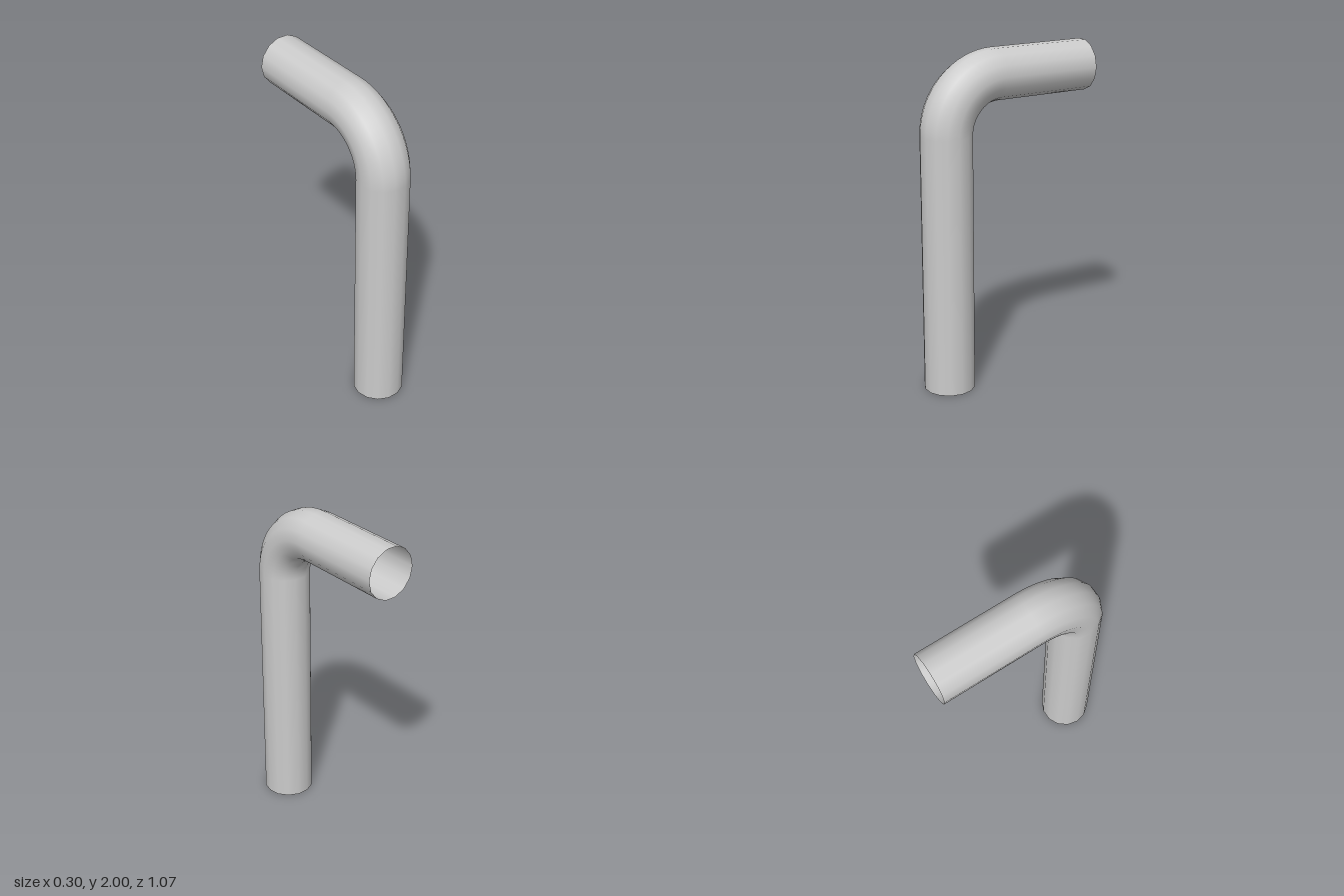
import * as THREE from 'three';

const SIDES = 14;        // facets around the pipe
const BEND_STEPS = 16;   // rings along the elbow
const RADIUS = 0.152;    // pipe radius
const BEND = 0.32;       // centreline radius of the elbow
const CY = 1.532, CZ = 0.069; // elbow centre
const BACK = -0.537;     // open rear end

export function createModel() {
  const group = new THREE.Group();
  group.name = 'bentPipe';

  // An open cylinder whose rings are moved onto the path: post, elbow, arm.
  const rows = BEND_STEPS + 2;
  const geometry = new THREE.CylinderGeometry(RADIUS, RADIUS, 1, SIDES, rows, true, Math.PI / 2);
  const pos = geometry.attributes.position;
  const nor = geometry.attributes.normal;

  for (let i = 0; i < pos.count; i++) {
    const row = Math.round((pos.getY(i) + 0.5) * rows);
    const angle = THREE.MathUtils.clamp((row - 1) / BEND_STEPS, 0, 1) * Math.PI / 2;
    const c = Math.cos(angle), s = Math.sin(angle);
    const reach = BEND + pos.getZ(i);
    let y = CY + reach * s;
    let z = CZ + reach * c;
    if (row === 0) y = 0;          // foot of the post
    if (row === rows) z = BACK;    // end of the arm
    pos.setXYZ(i, pos.getX(i), y, z);
    nor.setXYZ(i, nor.getX(i), nor.getZ(i) * s, nor.getZ(i) * c);
  }

  const pipe = new THREE.Mesh(
    geometry,
    new THREE.MeshStandardMaterial({ color: 0xcccccc, side: THREE.DoubleSide })
  );
  pipe.name = 'pipe';
  group.add(pipe);
  return group;
}
